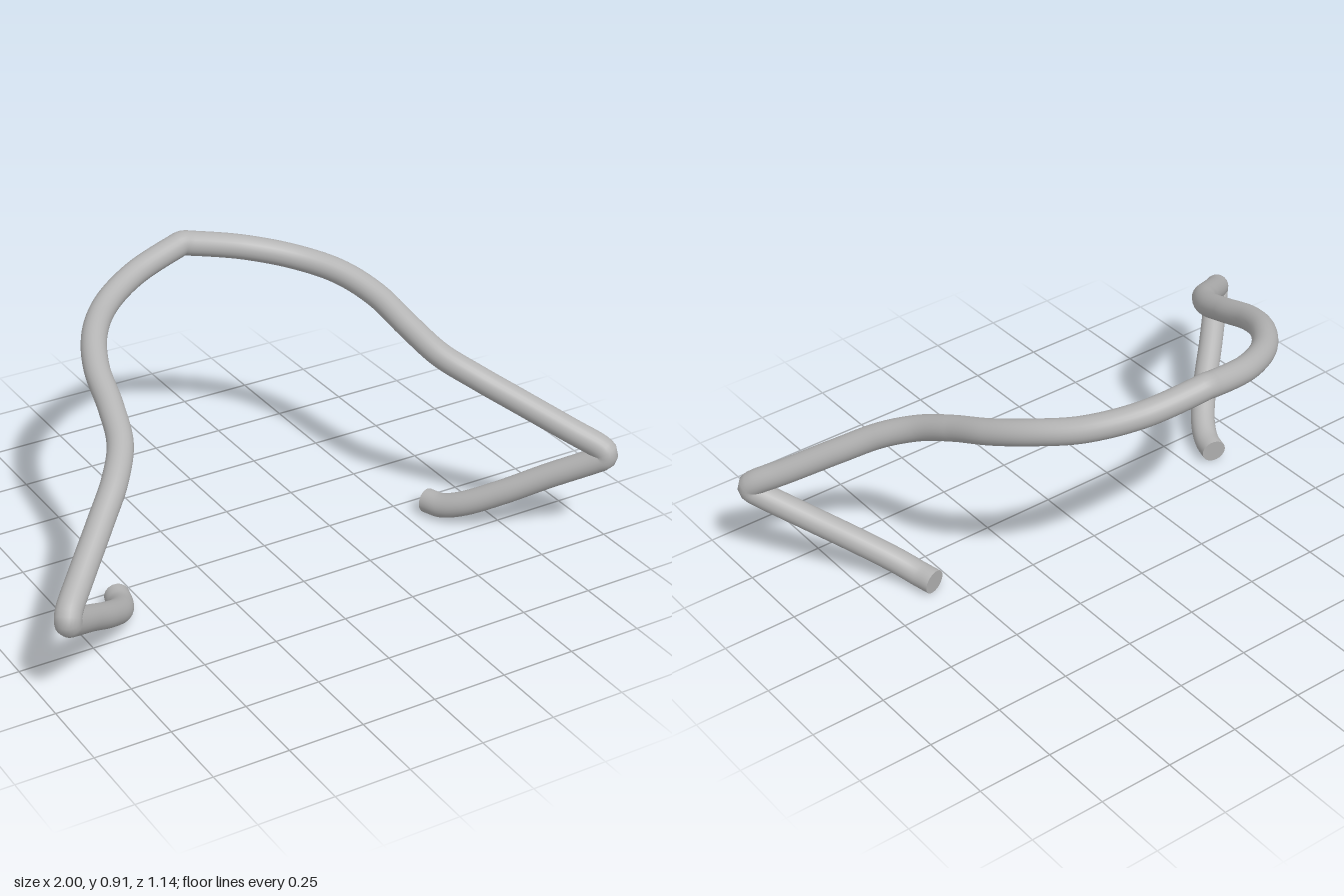
import * as THREE from 'three';

const RADIUS = 0.041;

export function createModel() {
  const group = new THREE.Group();
  group.name = 'bentBar';
  const grey = new THREE.MeshStandardMaterial({ color: 0xb4b4b4 });
  grey.name = 'grey';

  // centre line of the left half, from the crown down to the foot
  const half = [
    [0, 0.875, -0.53], [0.03, 0.869, -0.526], [0.2, 0.833, -0.483], [0.35, 0.797, -0.395],
    [0.45, 0.766, -0.28], [0.51, 0.722, -0.15], [0.54, 0.665, 0], [0.577, 0.61, 0.13],
    [0.65, 0.557, 0.235], [0.75, 0.488, 0.33], [0.88, 0.398, 0.448], [0.947, 0.352, 0.512],
    [0.959, 0.335, 0.527], [0.957, 0.318, 0.525], [0.94, 0.303, 0.508], [0.83, 0.222, 0.4],
    [0.72, 0.14, 0.298], [0.635, 0.076, 0.205], [0.598, 0.048, 0.14], [0.58, 0.042, 0.08],
  ].map((p) => new THREE.Vector3(...p));

  // mirror the half into one continuous path
  const mirrored = half.slice(1).reverse().map((p) => new THREE.Vector3(-p.x, p.y, p.z));
  const path = new THREE.CatmullRomCurve3([...mirrored, ...half], false, 'centripetal');
  path.arcLengthDivisions = 1600;

  const bar = new THREE.Mesh(new THREE.TubeGeometry(path, 440, RADIUS, 24), grey);
  bar.name = 'bar';
  group.add(bar);

  // flat caps closing both feet
  for (const [name, t, sign] of [['rightFootCap', 0, -1], ['leftFootCap', 1, 1]]) {
    const cap = new THREE.Mesh(new THREE.CircleGeometry(RADIUS, 24), grey);
    cap.name = name;
    cap.position.copy(path.getPointAt(t));
    const outward = path.getTangentAt(t).multiplyScalar(sign);
    cap.quaternion.setFromUnitVectors(new THREE.Vector3(0, 0, 1), outward);
    group.add(cap);
  }
  return group;
}
